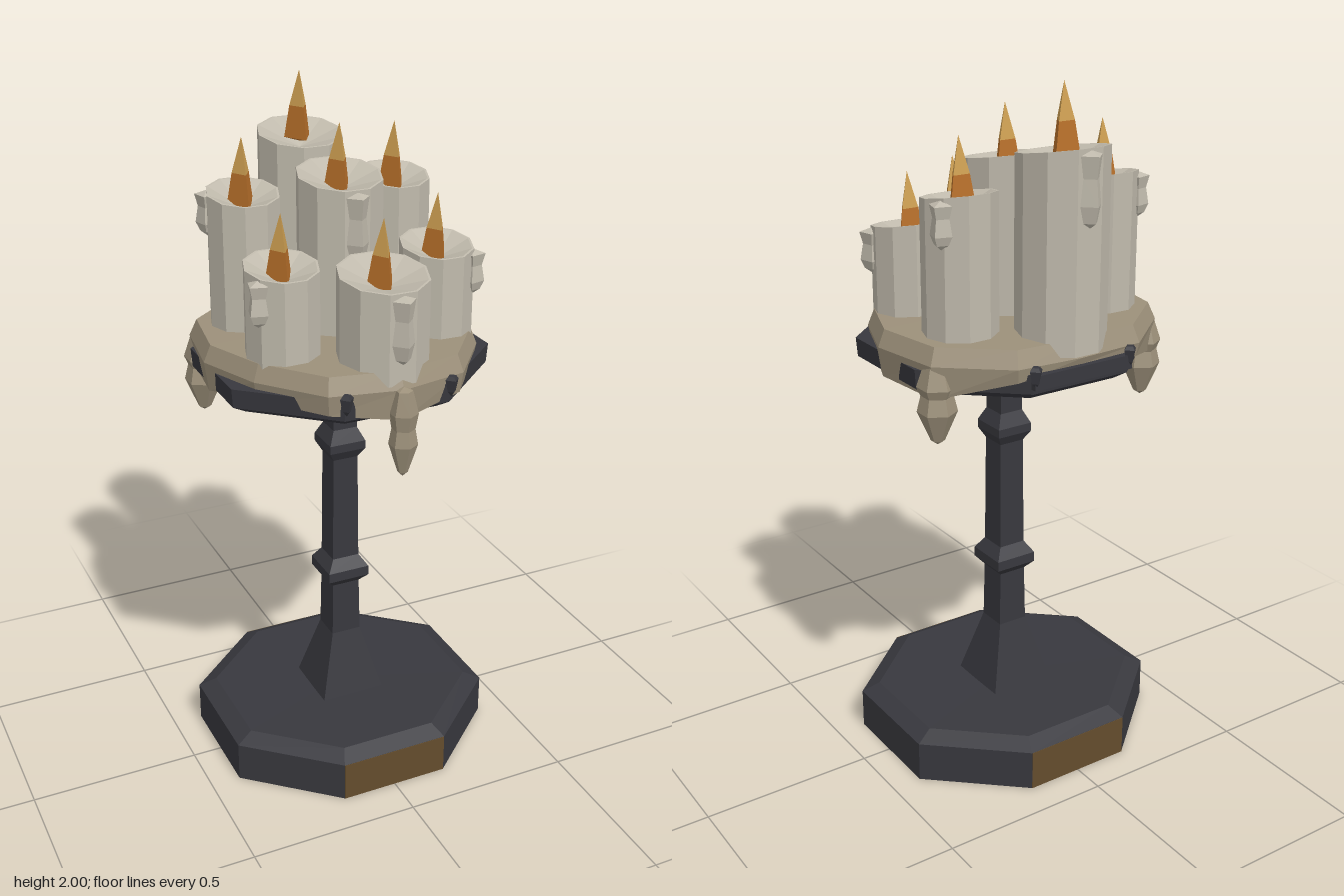
import * as THREE from 'three';

const mat = (name, color) => Object.assign(new THREE.MeshStandardMaterial({ color, flatShading: true }), { name });

// Skin a stack of rings (arrays of [x, y, z], counter-clockwise from above) and close both ends.
function loft(rings, topY, bottomY) {
  const pos = [];
  const n = rings[0].length;
  const tri = (...pts) => pts.forEach((p) => pos.push(...p));
  const centre = (ring, y) => {
    const c = [0, 0, 0];
    ring.forEach((p) => p.forEach((v, k) => { c[k] += v / n; }));
    if (y !== undefined) c[1] = y;
    return c;
  };
  const first = rings[0], last = rings[rings.length - 1];
  const low = centre(first, bottomY), high = centre(last, topY);
  for (let i = 0; i < n; i++) {
    const j = (i + 1) % n;
    for (let r = 0; r + 1 < rings.length; r++) {
      const a = rings[r], b = rings[r + 1];
      tri(a[i], a[j], b[j]);
      tri(a[i], b[j], b[i]);
    }
    tri(low, first[j], first[i]);
    tri(high, last[i], last[j]);
  }
  const g = new THREE.BufferGeometry();
  g.setAttribute('position', new THREE.Float32BufferAttribute(pos, 3));
  g.computeVertexNormals();
  return g;
}

// Long octagon shared by the foot and the tray.
const octagon = (y, sx, sz = sx) => [
  [-0.165, 0.39], [0.165, 0.39], [0.413, 0.17], [0.413, -0.17],
  [0.165, -0.39], [-0.165, -0.39], [-0.413, -0.17], [-0.413, 0.17],
].map(([x, z]) => [x * sx, y, z * sz - 0.01]);

const square = (y, h) => [[-h, y, h - 0.01], [h, y, h - 0.01], [h, y, -h - 0.01], [-h, y, -h - 0.01]];

const lathe = (profile, sides) => new THREE.LatheGeometry(profile.map(([r, y]) => new THREE.Vector2(r, y)), sides);

export function createModel() {
  const model = new THREE.Group();
  model.name = 'candleStand';

  const iron = mat('dark iron', 0x38383e);
  const bronze = mat('bronze', 0x644c2c);
  const wax = mat('pale wax', 0xc0baac);
  const oldWax = mat('old wax', 0x9c907a);
  const ember = mat('flame orange', 0xb8702a);
  const glow = mat('flame gold', 0xcfa052);

  const add = (name, geometry, material, parent = model) => {
    const mesh = new THREE.Mesh(geometry, material);
    mesh.name = name;
    parent.add(mesh);
    return mesh;
  };

  // Foot with a shallow dished top
  add('foot', loft([octagon(0, 1), octagon(0.12, 1), octagon(0.145, 0.88)], 0.137), iron);
  for (const side of [1, -1]) {
    const panel = add('footPanel', new THREE.BoxGeometry(0.328, 0.119, 0.004), bronze);
    panel.position.set(0, 0.06, side * 0.39 - 0.01);
  }

  // Square stem with two knots
  const stem = [
    [0.13, 0.102], [0.34, 0.046], [0.51, 0.043], [0.535, 0.065], [0.565, 0.065], [0.6, 0.042],
    [0.93, 0.039], [0.96, 0.056], [0.985, 0.056], [1.025, 0.037], [1.2, 0.037],
  ];
  add('stem', loft(stem.map(([y, h]) => square(y, h))), iron);

  // Tray under the wax
  add('tray', loft([octagon(1.19, 0.84), octagon(1.215, 0.94), octagon(1.27, 0.95)]), iron);

  // Melted wax slab: [x, z, lower edge height], mirrored in x
  const half = [
    [0, 0.39, 1.2], [0.2, 0.35, 1.232], [0.338, 0.178, 1.235], [0.41, -0.01, 1.205],
    [0.375, -0.225, 1.195], [0.2, -0.372, 1.25], [0, -0.385, 1.27],
  ];
  const outline = [...half, ...half.slice(1, 6).reverse().map(([x, z, y]) => [-x, z, y])];
  add('waxSlab', loft([
    outline.map(([x, z, y]) => [x * 0.97, y, z * 0.98]),
    outline.map(([x, z]) => [x, 1.29, z]),
    outline.map(([x, z]) => [x * 0.95, 1.338, z * 0.95]),
  ], 1.345, 1.24), oldWax);

  // Hanging wax drops
  const drops = [[0, 0.39, 1.04, 0.04], [0.345, -0.205, 1.06, 0.055], [-0.345, -0.205, 1.06, 0.055]];
  for (const [x, z, tip, r] of drops) {
    const profile = [[0, tip], [r * 0.35, tip + 0.012], [r, tip + 0.095], [r * 0.8, tip + 0.14], [r, 1.225], [r * 0.6, 1.29], [0, 1.3]];
    add('hangingDrop', lathe(profile, 6), oldWax).position.set(x, 0, z);
  }

  // Iron hooks poking through the slab, front and back
  for (const x of [-0.155, 0.155]) {
    for (const z of [0.368, -0.388]) {
      const hook = add('hook', lathe([[0, -0.035], [0.012, -0.02], [0.02, 0.015], [0.012, 0.025], [0, 0.025]], 4), iron);
      hook.position.set(x, 1.27, z);
    }
  }
  add('rearBracket', new THREE.BoxGeometry(0.32, 0.04, 0.03), iron).position.set(0, 1.25, -0.378);

  // Dished, sloping candle with a flame and one runny drip
  function candle(x, z, r, top, tip, dripAngle, dripLength) {
    const group = new THREE.Group();
    group.name = 'candle';
    group.position.set(x, 0, z);
    model.add(group);

    const body = lathe([[0, 1.3], [r, 1.3], [r, top], [r - 0.006, top], [0, top - 0.045]], 10);
    body.rotateY(Math.PI / 10);
    const p = body.attributes.position;
    for (let i = 0; i < p.count; i++) {
      if (p.getY(i) > 1.31) p.setY(i, p.getY(i) - p.getZ(i) * 0.16);
    }
    add('candleBody', body, wax, group);

    const flameLow = lathe([[0, tip - 0.2], [0.045, tip - 0.19], [0.029, tip - 0.1]], 3);
    const flameHigh = lathe([[0.029, tip - 0.1], [0, tip]], 3);
    add('flameBase', flameLow, ember, group);
    add('flameTip', flameHigh, glow, group);

    const d = r * 0.97;
    const dx = Math.sin(dripAngle), dz = Math.cos(dripAngle);
    const end = top - dz * d * 0.16 - 0.005;
    const drip = lathe([
      [0, end - dripLength], [0.022, end - dripLength + 0.015], [0.033, end - dripLength * 0.7],
      [0.025, end - dripLength * 0.35], [0.034, end - 0.012], [0, end],
    ], 4);
    const mesh = add('waxDrip', drip, wax, group);
    mesh.position.set(dx * d, 0, dz * d);
    mesh.rotation.y = dripAngle;
  }

  candle(0, -0.28, 0.125, 1.828, 2.0, Math.PI, 0.2);
  candle(0, -0.012, 0.121, 1.77, 1.91, 0, 0.2);
  candle(0, 0.26, 0.126, 1.573, 1.72, 0, 0.19);
  for (const s of [1, -1]) {
    candle(s * 0.231, -0.143, 0.104, 1.713, 1.865, s * 2.1, 0.13);
    candle(s * 0.231, 0.123, 0.104, 1.583, 1.725, s * 1.04, 0.13);
  }

  return model;
}
